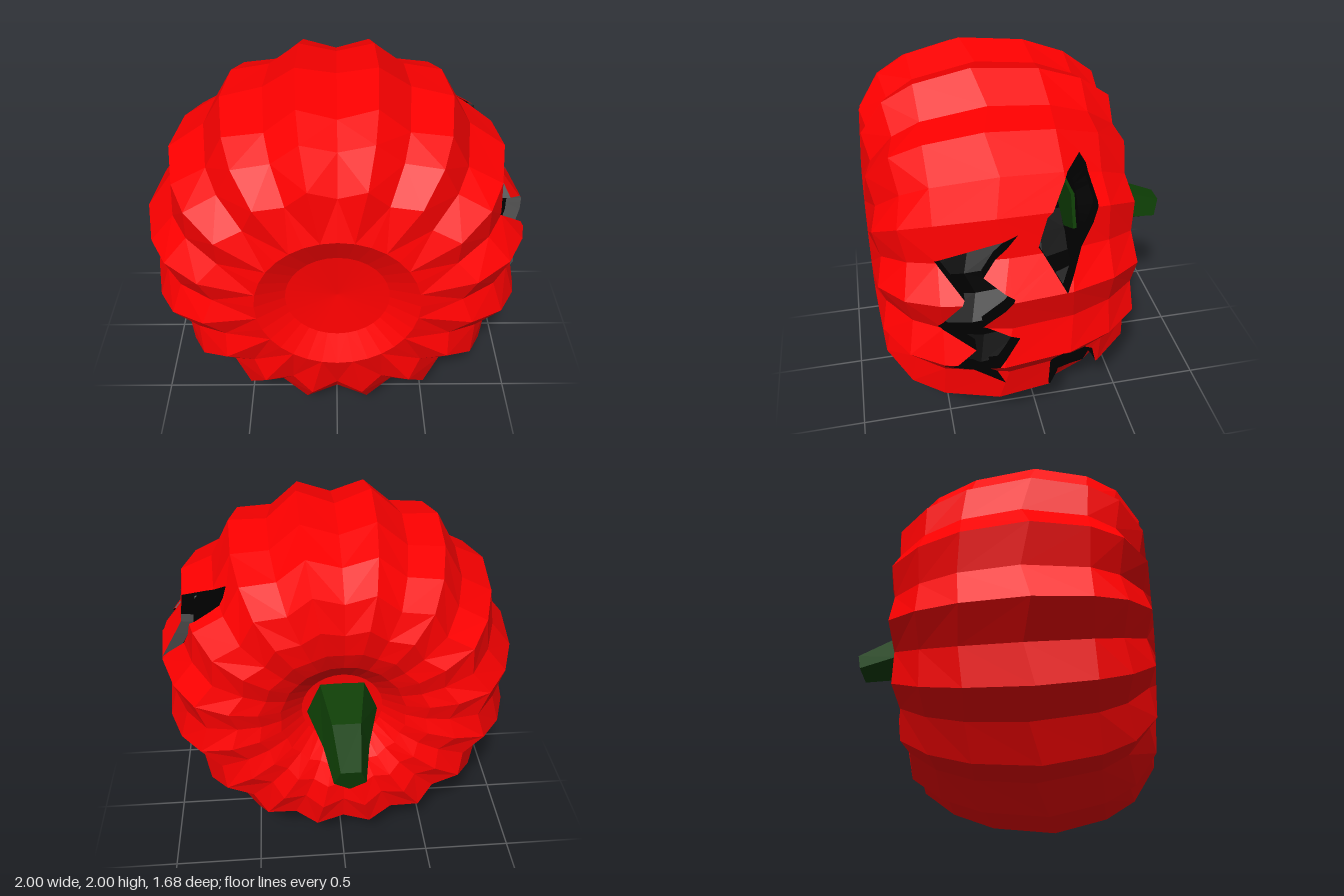
import * as THREE from 'three';

const V2 = (p) => new THREE.Vector2(p[0], p[1]);

// Skin profile from the front dimple to the back dimple:
// radius and z of the ridges, then radius ratio and z shift of the grooves
const PROFILE = [
  [0, 0.75, 1, 0], [0.26, 0.77, 1, 0], [0.41, 0.838, 1, 0], [0.69, 0.815, 0.9, -0.03],
  [0.865, 0.7, 0.915, -0.03], [0.955, 0.545, 0.92, -0.01], [1.02, 0.265, 0.927, -0.05],
  [0.985, -0.07, 0.927, -0.02], [0.905, -0.29, 0.925, 0], [0.785, -0.45, 0.92, 0.01],
  [0.61, -0.49, 0.92, 0.025], [0.46, -0.473, 0.95, 0.02], [0.34, -0.42, 0.97, 0.01],
  [0.22, -0.32, 1, 0], [0, -0.3, 1, 0],
];
const RIBS = 16;

// Carved openings as outlines in (z, y), cut through the +x side
const HOLES = [
  [[-0.18, 1.7], [0.03, 1.53], [0.075, 1.39], [-0.04, 1.19], [-0.2, 1.44], [-0.23, 1.53], [-0.21, 1.65]],
  [[-0.03, 0.81], [0, 0.72], [0, 0.46], [-0.1, 0.36], [-0.29, 0.25], [-0.29, 0.44], [-0.245, 0.62]],
  [[0.17, 1.47], [0.34, 1.29], [0.21, 1.21], [0.35, 1.01], [0.18, 0.94], [0.325, 0.75], [0.235, 0.55],
    [0.55, 0.755], [0.39, 0.89], [0.56, 1.01], [0.435, 1.21], [0.55, 1.345]],
].map((h) => h.map(V2));

// Signed distance of a 3D point from the line a-b in the (z, y) plane
function side(a, b, p) {
  return ((b.x - a.x) * (p.y - a.y) - (b.y - a.y) * (p.z - a.x)) / a.distanceTo(b);
}

// Part of a convex polygon on one side of a line
function clip(poly, a, b, sign) {
  const out = [];
  poly.forEach((p, i) => {
    const q = poly[(i + 1) % poly.length];
    const dp = sign * side(a, b, p), dq = sign * side(a, b, q);
    if (dp >= 0) out.push(p);
    if ((dp > 0 && dq < 0) || (dp < 0 && dq > 0)) out.push(p.clone().lerp(q, dp / (dp - dq)));
  });
  return out;
}

function area(poly) {
  const sum = new THREE.Vector3();
  for (let i = 1; i < poly.length - 1; i++) {
    sum.add(poly[i].clone().sub(poly[0]).cross(poly[i + 1].clone().sub(poly[0])));
  }
  return sum.length();
}

// Take a triangular cutter out of a polygon
function subtract(poly, tri) {
  const kept = [];
  let rest = poly;
  for (let i = 0; i < 3; i++) {
    const a = tri[i], b = tri[(i + 1) % 3];
    const outside = clip(rest, a, b, -1);
    rest = clip(rest, a, b, 1);
    if (rest.length < 3 || area(rest) < 1e-9) return { kept: [poly], removed: null };
    if (outside.length > 2 && area(outside) > 1e-10) kept.push(outside);
  }
  return { kept, removed: rest };
}

// Ribbed skin as triangles
function skinTriangles() {
  const n = RIBS * 2;
  const point = (i, j) => {
    const [r, z, groove, shift] = PROFILE[i];
    const a = (j % n) * Math.PI / RIBS;
    const rr = j % 2 ? r : r * groove;
    return new THREE.Vector3(rr * Math.cos(a), 1 + rr * Math.sin(a), j % 2 ? z : z + shift);
  };
  const tris = [];
  for (let i = 0; i < PROFILE.length - 1; i++) {
    for (let j = 0; j < n; j++) {
      const a = point(i, j), b = point(i + 1, j), c = point(i + 1, j + 1), d = point(i, j + 1);
      tris.push(...(j % 2 ? [[a, b, c], [a, c, d]] : [[a, b, d], [b, c, d]]));
    }
  }
  return tris.filter((t) => area(t) > 1e-9);
}

function meshFrom(name, polys, color, doubleSided) {
  const pos = [];
  for (const p of polys) {
    for (let i = 1; i < p.length - 1; i++) {
      for (const v of [p[0], p[i], p[i + 1]]) pos.push(v.x, v.y, v.z);
    }
  }
  const g = new THREE.BufferGeometry();
  g.setAttribute('position', new THREE.Float32BufferAttribute(pos, 3));
  g.computeVertexNormals();
  const m = new THREE.MeshStandardMaterial({ color, flatShading: true });
  if (doubleSided) m.side = THREE.DoubleSide;
  const mesh = new THREE.Mesh(g, m);
  mesh.name = name;
  return mesh;
}

// Inner surface of the hollow shell: thick at the sides, thin round the dimples
function inward(p) {
  const k = THREE.MathUtils.clamp((Math.hypot(p.x, p.y - 1) - 0.42) / 0.3, 0, 1);
  return new THREE.Vector3(
    p.x * (1 - 0.08 * k), 1 + (p.y - 1) * (1 - 0.02 * k), 0.17 + (p.z - 0.17) * 0.98);
}

// Five-sided tapering stem, bent and cut at a slant
function makeStem() {
  const g = new THREE.CylinderGeometry(1, 1, 1, 5, 2, false, Math.PI / 5);
  g.rotateX(-Math.PI / 2);
  const rows = [ // z, x radius, y radius, centre y, slant
    [-0.285, 0.21, 0.165, 1.03, 0],
    [-0.59, 0.126, 0.134, 1, 0],
    [-0.822, 0.086, 0.083, 0.943, -0.022],
  ];
  const p = g.attributes.position;
  for (let i = 0; i < p.count; i++) {
    const [z, rx, ry, cy, slant] = rows[Math.round((0.5 - p.getZ(i)) * 2)];
    const t = p.getY(i);
    p.setXYZ(i, p.getX(i) * rx, cy + t * ry, z + t * slant);
  }
  g.computeVertexNormals();
  const stem = new THREE.Mesh(g, new THREE.MeshStandardMaterial({ color: 0x0e3f05, flatShading: true }));
  stem.name = 'stem';
  return stem;
}

export function createModel() {
  const group = new THREE.Group();
  group.name = 'carvedPumpkin';

  let skin = skinTriangles();
  const walls = [];
  for (const hole of HOLES) {
    for (const ids of THREE.ShapeUtils.triangulateShape(hole, [])) {
      const tri = ids.map((i) => hole[i]);
      if (THREE.ShapeUtils.isClockWise(tri)) tri.reverse();
      const next = [];
      for (const poly of skin) {
        if (poly.some((p) => p.x < 0.3)) { next.push(poly); continue; }
        const { kept, removed } = subtract(poly, tri);
        next.push(...kept);
        // Cut walls along the outline of the opening
        removed?.forEach((p, i) => {
          const q = removed[(i + 1) % removed.length];
          const onEdge = hole.some((a, k) => {
            const b = hole[(k + 1) % hole.length];
            const mid = new THREE.Vector2((p.z + q.z) / 2, (p.y + q.y) / 2);
            return Math.abs(side(a, b, p)) < 1e-6 && Math.abs(side(a, b, q)) < 1e-6
              && mid.distanceTo(a) + mid.distanceTo(b) < a.distanceTo(b) + 1e-6;
          });
          if (onEdge) walls.push([p, q, inward(q), inward(p)]);
        });
      }
      skin = next;
    }
  }

  group.add(
    meshFrom('skin', skin, 0xff0000),
    meshFrom('hollowInside', skin.map((p) => p.map(inward).reverse()), 0x000000, true),
    meshFrom('cutWalls', walls, 0x000000, true),
    makeStem(),
  );
  return group;
}
